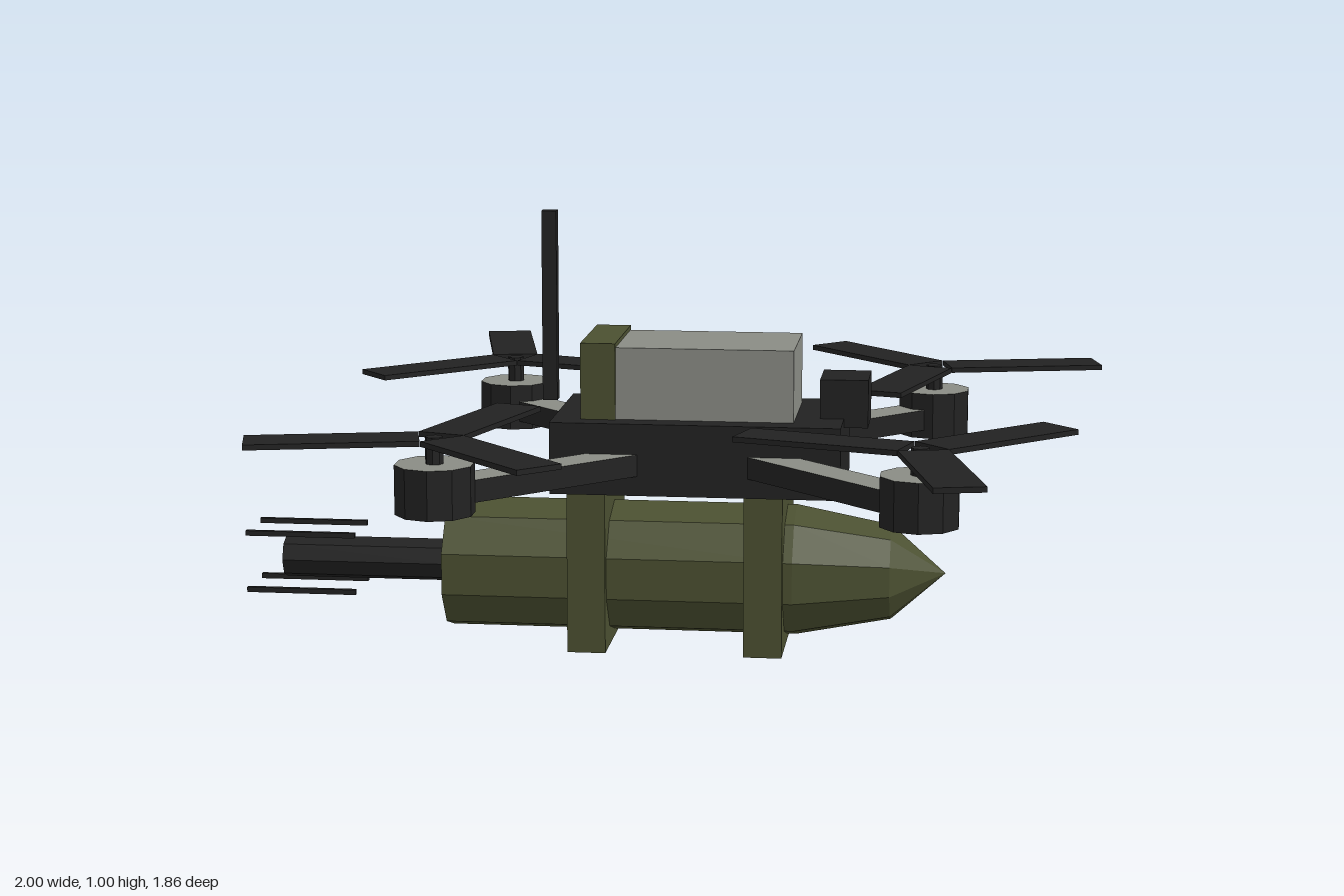
import * as THREE from 'three';

const mat = (name, color) => {
  const m = new THREE.MeshStandardMaterial({ color });
  m.name = name;
  return m;
};

export function createModel() {
  const olive = mat('olive', 0x4b5031);
  const dark = mat('charcoal', 0x222222);
  const grey = mat('grey', 0x8a8c85);

  const model = new THREE.Group();
  model.name = 'quadcopter';

  const add = (name, geometry, material, x, y, z, parent = model) => {
    const mesh = new THREE.Mesh(geometry, material);
    mesh.name = name;
    mesh.position.set(x, y, z);
    parent.add(mesh);
    return mesh;
  };
  // box given by its x and y limits and its full depth
  const block = (name, material, x0, x1, y0, y1, depth, z = 0) =>
    add(name, new THREE.BoxGeometry(x1 - x0, y1 - y0, depth), material, (x0 + x1) / 2, (y0 + y1) / 2, z);
  // faceted cylinder, standing upright
  const facets = (rTop, rBottom, height, sides, start = 0, open = false) => {
    const g = new THREE.CylinderGeometry(rTop, rBottom, height, sides, 1, open, start).toNonIndexed();
    g.computeVertexNormals();
    return g;
  };
  // faceted cylinder lying along x from x0 to x1
  const along = (name, material, x0, x1, r0, r1, sides, y, z = 0, open = false) =>
    add(name, facets(r1, r0, x1 - x0, sides, Math.PI / 2, open).rotateZ(-Math.PI / 2), material, (x0 + x1) / 2, y, z);

  // Slung payload with tapered nose and tail
  const axis = 0.17;
  along('payloadBody', olive, -0.52, 0.29, 0.155, 0.155, 10, axis);
  along('payloadTaper', olive, 0.29, 0.51, 0.155, 0.112, 10, axis, 0, true);
  along('payloadNose', olive, 0.51, 0.635, 0.112, 0, 10, axis, 0, true);
  along('tailTube', dark, -0.92, -0.52, 0.05, 0.05, 8, axis);
  for (const sy of [-1, 1]) for (const sz of [-1, 1]) {
    block('tailRod', dark, -1, -0.74, axis + sy * 0.068 - 0.006, axis + sy * 0.068 + 0.006, 0.012, sz * 0.068);
  }

  // Mounting straps
  for (const x of [-0.18, 0.225]) block('strap', olive, x - 0.044, x + 0.044, 0, 0.375, 0.335);

  // Fuselage, battery, camera and antenna
  block('fuselage', dark, -0.26, 0.4, 0.375, 0.54, 0.37);
  block('battery', grey, -0.19, 0.29, 0.54, 0.705, 0.26);
  block('batteryBand', olive, -0.195, -0.115, 0.54, 0.715, 0.274);
  block('camera', dark, 0.345, 0.455, 0.52, 0.63, 0.136);
  block('antenna', dark, -0.301, -0.267, 0.56, 1.0, 0.03);

  // Four arms with motors and three-bladed rotors
  const cx = 0.066, reach = 0.522;
  const rotors = [[-1, -1, 102], [1, -1, 13], [-1, 1, 73], [1, 1, 43]];
  const armLength = 0.55;
  const armGeometry = new THREE.BoxGeometry(armLength, 0.05, 0.085);
  const motorGeometry = facets(0.088, 0.088, 0.11, 10);
  const bladeGeometry = new THREE.BoxGeometry(0.375, 0.012, 0.11).translate(0.22, 0, 0);
  for (const [sx, sz, degrees] of rotors) {
    const unit = new THREE.Group();
    unit.name = 'rotorUnit';
    unit.position.set(cx + sx * reach, 0, sz * reach);
    model.add(unit);

    const half = (armLength / 2) * Math.SQRT1_2;
    const arm = add('arm', armGeometry, [dark, dark, grey, dark, dark, dark], -sx * half, 0.445, -sz * half, unit);
    arm.rotation.y = -Math.atan2(sz, sx);

    add('motor', motorGeometry, [dark, grey, grey], 0, 0.455, 0, unit);
    add('shaft', facets(0.02, 0.02, 0.06, 8), dark, 0, 0.539, 0, unit);
    for (let i = 0; i < 3; i++) {
      const blade = add('blade', bladeGeometry, dark, 0, 0.564, 0, unit);
      blade.rotation.y = THREE.MathUtils.degToRad(degrees + i * 120);
    }
  }

  model.position.z = -0.003;
  return model;
}
